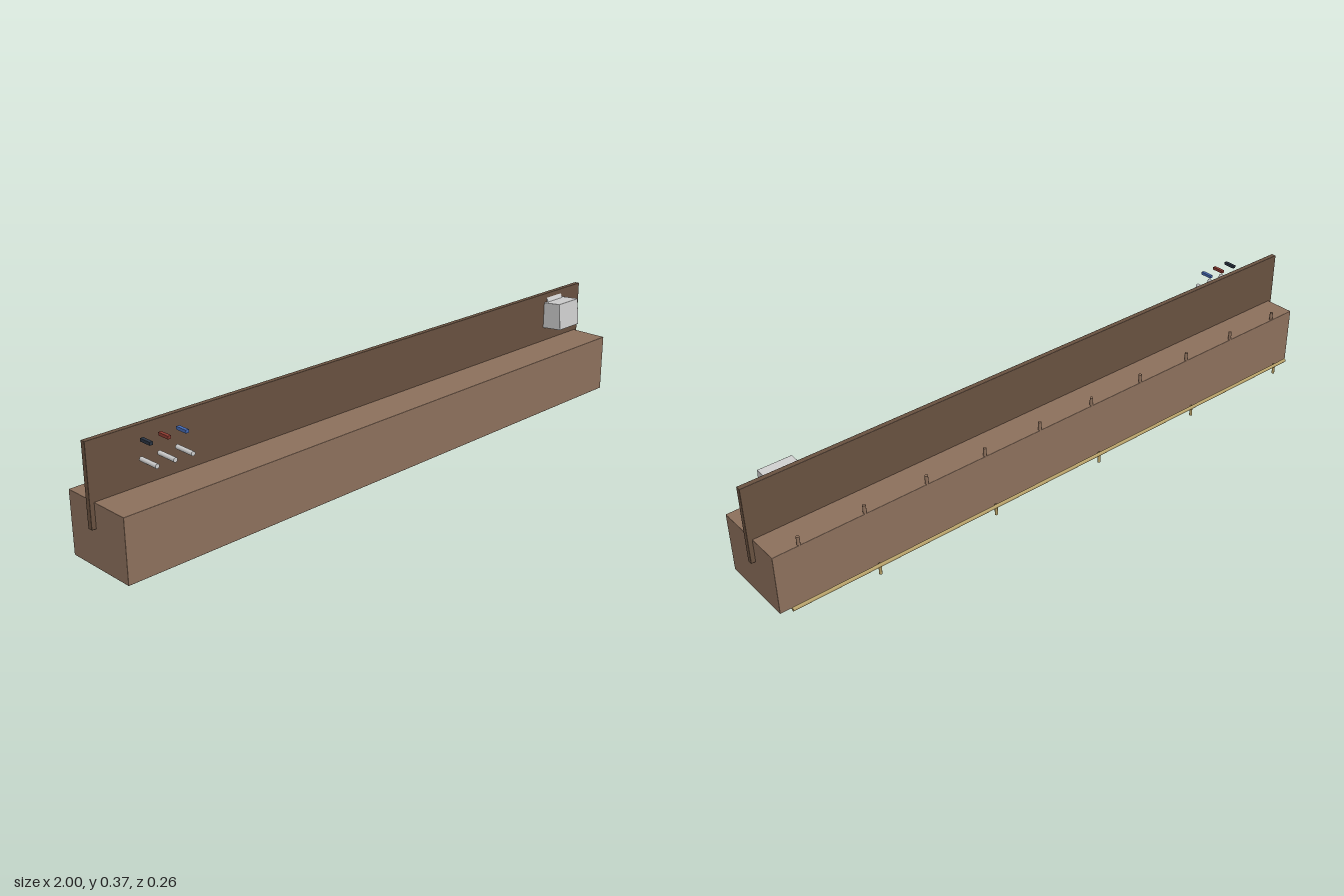
import * as THREE from 'three';
import { RoundedBoxGeometry } from 'three/addons/geometries/RoundedBoxGeometry.js';

const mat = (color) => new THREE.MeshStandardMaterial({ color });
const wood = mat(0x8b6f5b), darkWood = mat(0x67503f), brass = mat(0xb09a62), grey = mat(0xcccccc);

export function createModel() {
  const model = new THREE.Group();

  const add = (name, geometry, material, x, y, z, parent = model) => {
    const mesh = new THREE.Mesh(geometry, material);
    mesh.name = name;
    mesh.position.set(x, y, z);
    parent.add(mesh);
    return mesh;
  };
  // box given by its y and z limits, centred on x
  const slab = (name, width, y0, y1, z0, z1, material) =>
    add(name, new RoundedBoxGeometry(width, y1 - y0, z1 - z0, 1, 0.0015), material,
      0, (y0 + y1) / 2, (z0 + z1) / 2);
  const rod = (name, radius, length, material, x, y, z, parent) =>
    add(name, new THREE.CylinderGeometry(radius, radius, length, 12), material, x, y, z, parent);

  // counter body and the upright panel that runs through it
  slab('counterBody', 1.974, 0.022, 0.207, -0.105, 0.131, wood);
  slab('uprightPanel', 2, 0.134, 0.372, -0.008, 0.008, darkWood);

  // pegs through the back edge
  for (let i = 0; i < 10; i++) {
    rod('backPeg', 0.005, 0.224, wood, -0.893 + i * 0.2, 0.121, -0.1);
  }

  // foot rail with its posts
  const rail = new THREE.Group();
  rail.name = 'footRail';
  model.add(rail);
  rod('railBar', 0.0055, 1.92, brass, 0, 0.0355, -0.1245, rail).rotation.z = Math.PI / 2;
  for (let i = 0; i < 5; i++) {
    rod('railPost', 0.0045, 0.035, brass, -0.914 + i * 0.4, 0.0175, -0.1175, rail);
  }

  // tilted counter machine on the panel, with a slanted plate on top
  const machine = new THREE.Group();
  machine.name = 'counterMachine';
  machine.position.set(0.858, 0.3, 0.037);
  model.add(machine);
  add('machineBody', new RoundedBoxGeometry(0.103, 0.088, 0.074, 1, 0.0015), grey,
    0, 0, 0, machine).rotation.x = -0.09;
  add('machinePlate', new THREE.BoxGeometry(0.078, 0.032, 0.003), grey,
    0, 0.05, -0.028, machine).rotation.x = -0.45;

  // three taps: a spout with a coloured handle above
  [0x2a3340, 0x8c3a30, 0x4468b0].forEach((color, i) => {
    const tap = new THREE.Group();
    tap.name = 'tap';
    tap.position.x = -0.865 + i * 0.055;
    model.add(tap);
    rod('tapSpout', 0.0065, 0.066, grey, 0, 0.2965, 0.077, tap).rotation.x = Math.PI / 2;
    add('tapHandle', new THREE.BoxGeometry(0.01, 0.009, 0.039), mat(color), 0, 0.351, 0.071, tap);
  });

  return model;
}
